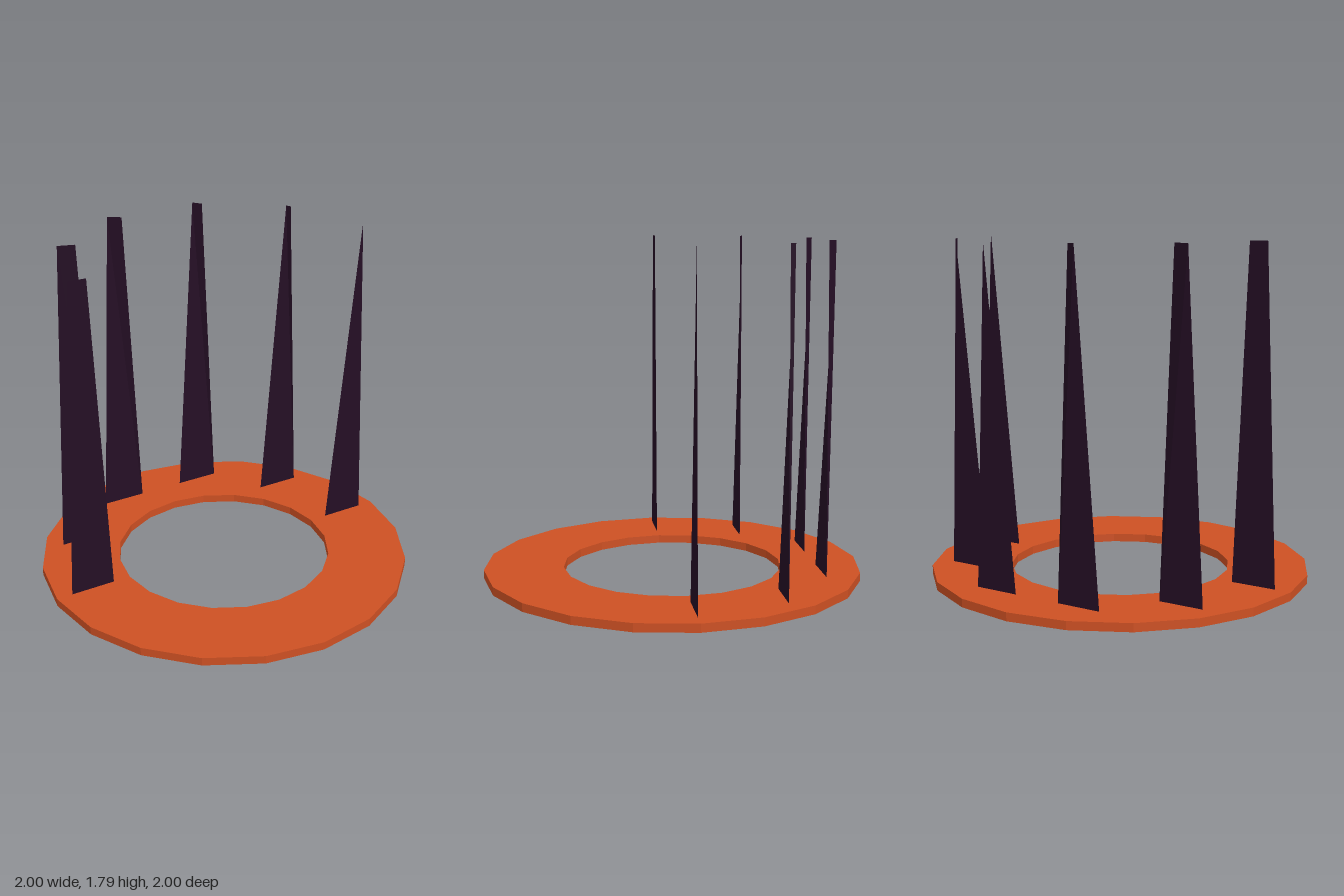
import * as THREE from 'three';

const ringMaterial = new THREE.MeshStandardMaterial({ color: 0xcd5023, flatShading: true });
ringMaterial.name = 'burntOrange';
const spikeMaterial = new THREE.MeshStandardMaterial({ color: 0x240e24, flatShading: true, side: THREE.DoubleSide });
spikeMaterial.name = 'darkPlum';

const SPIKE_RADIUS = 0.794;
const SPIKE_HEIGHT = 1.79;

// Thin twisted blade: wide foot, one top corner leaning outward, the other upright
function spikeGeometry(x, z) {
  const geometry = new THREE.BufferGeometry();
  geometry.setAttribute('position', new THREE.Float32BufferAttribute([
    x - 0.123, 0, z,
    x + 0.123, 0, z,
    x + 0.05, SPIKE_HEIGHT, z,
    x * 1.06, SPIKE_HEIGHT, z * 1.06,
  ], 3));
  geometry.setIndex([0, 1, 3, 1, 2, 3]);
  geometry.computeVertexNormals();
  return geometry;
}

export function createModel() {
  const model = new THREE.Group();
  model.name = 'spikedRing';

  // Flat twenty-sided ring with a rectangular section
  const section = [[0.58, 0.022], [1, 0.022], [1, 0.066], [0.58, 0.066], [0.58, 0.022]]
    .map(([r, y]) => new THREE.Vector2(r, y));
  const ring = new THREE.Mesh(new THREE.LatheGeometry(section, 20), ringMaterial);
  ring.name = 'ring';
  model.add(ring);

  // Six spikes fanned around the back half, from one side to the other
  for (let i = 0; i < 6; i++) {
    const angle = (-90 + i * 36) * Math.PI / 180;
    const x = Math.sin(angle) * SPIKE_RADIUS;
    const z = -Math.cos(angle) * SPIKE_RADIUS;
    const spike = new THREE.Mesh(spikeGeometry(x, z), spikeMaterial);
    spike.name = `spike${i + 1}`;
    model.add(spike);
  }
  return model;
}
